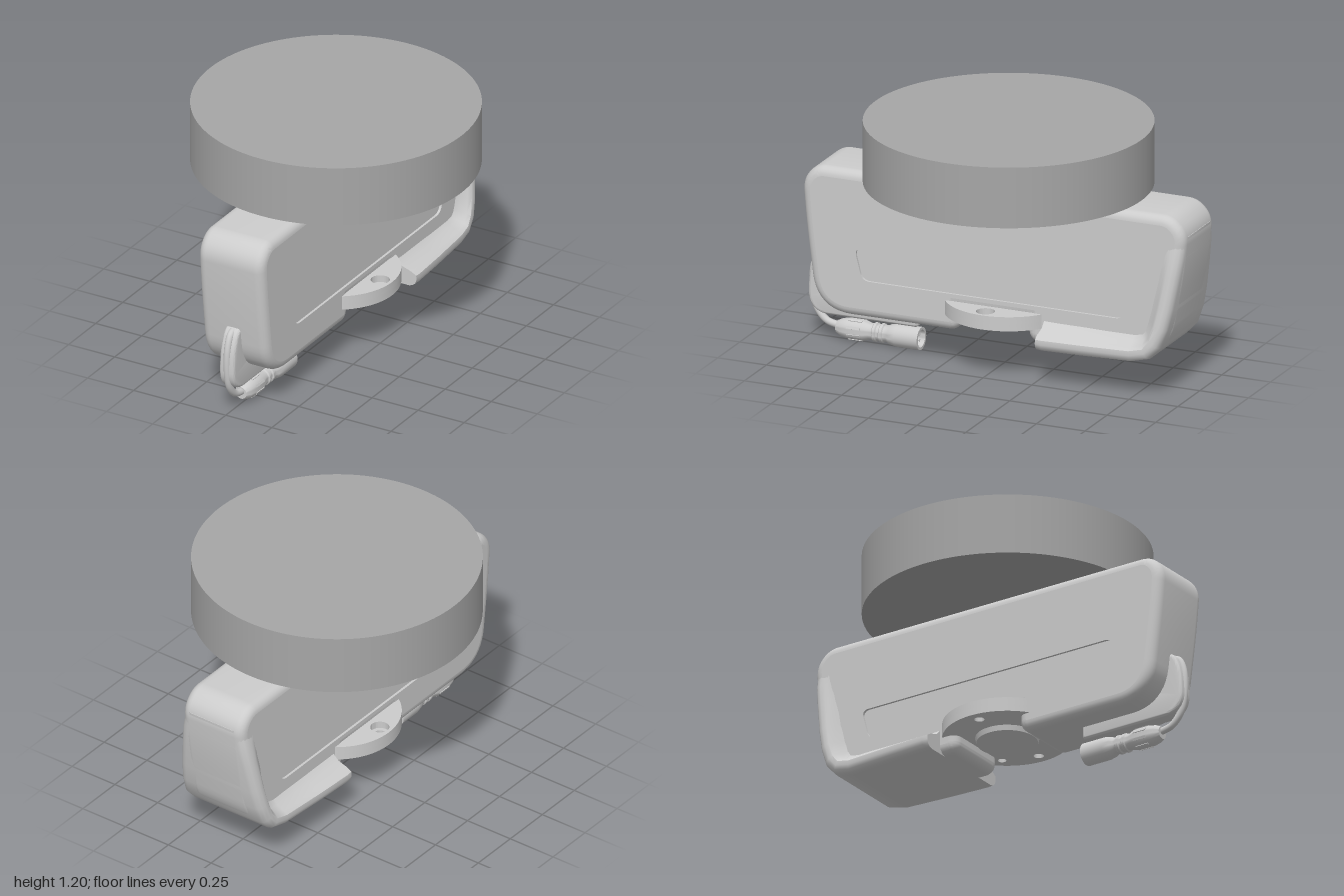
import * as THREE from 'three';
import { toCreasedNormals, mergeVertices } from 'three/addons/utils/BufferGeometryUtils.js';

const grey = new THREE.MeshStandardMaterial({ color: 0xcccccc });
const greyThin = new THREE.MeshStandardMaterial({ color: 0xcccccc, side: THREE.DoubleSide });
const darkGrey = new THREE.MeshStandardMaterial({ color: 0xa6a6a6 });

// Closed outline from [z, y, cornerRadius] points
function roundedOutline(points, Type = THREE.Shape) {
  const shape = new Type();
  points.forEach(([x, y, r], i) => {
    const p = new THREE.Vector2(x, y);
    const toward = (q) => {
      const d = new THREE.Vector2(q[0], q[1]).sub(p);
      return p.clone().addScaledVector(d, Math.min(r / d.length(), 0.49));
    };
    const a = toward(points[(i + points.length - 1) % points.length]);
    const b = toward(points[(i + 1) % points.length]);
    if (i === 0) shape.moveTo(a.x, a.y); else shape.lineTo(a.x, a.y);
    shape.quadraticCurveTo(x, y, b.x, b.y);
  });
  shape.closePath();
  return shape;
}

// Extrude a (z, y) outline symmetrically across x
function extrudeAcross(shape, halfWidth, bevel = 0) {
  const depth = 2 * (halfWidth - bevel);
  const geo = new THREE.ExtrudeGeometry(shape, {
    depth, curveSegments: 10, bevelEnabled: bevel > 0,
    bevelSize: bevel, bevelThickness: bevel, bevelSegments: 6,
  });
  return geo.translate(0, 0, -depth / 2).rotateY(-Math.PI / 2);
}

// Keep only the side walls of an extrusion
function wallsOnly(geo) {
  const { start, count } = geo.groups[1];
  const out = new THREE.BufferGeometry();
  const pos = geo.attributes.position.array.slice(start * 3, (start + count) * 3);
  out.setAttribute('position', new THREE.BufferAttribute(pos, 3));
  return out;
}

const crease = (geo, angle = 0.6) => toCreasedNormals(geo, angle);

function add(parent, name, geo, material = grey) {
  const mesh = new THREE.Mesh(geo, material);
  mesh.name = name;
  parent.add(mesh);
  return mesh;
}

// Lofted flare that wraps the bottom and back edges: [z, y, inward z, inward y, half width]
function rearFlareGeometry() {
  const stations = [
    [-0.28, 0.18, 0, 1, 0.283], [-0.31, 0.179, 0, 1, 0.285], [-0.5, 0.179, 0, 1, 0.275],
    [-0.75, 0.18, 0.05, 1, 0.257], [-0.84, 0.202, 0.45, 0.89, 0.252],
    [-0.895, 0.26, 0.8, 0.6, 0.247], [-0.928, 0.35, 0.95, 0.31, 0.238],
    [-0.95, 0.45, 0.97, 0.24, 0.225], [-0.975, 0.6, 0.98, 0.2, 0.204],
    [-0.99, 0.7, 0.99, 0.12, 0.188], [-0.997, 0.8, 1, 0, 0.165],
  ];
  const pos = [], idx = [];
  let n = 0;
  stations.forEach(([z, y, nz, ny, w]) => {
    const lip = Math.max(0, w - 0.17);
    const half = [[w - 0.04, 0], [w - 0.022, 0.005], [w - 0.007, 0.018], [w, 0.038], [w - 0.002, 0.06],
      [w - 0.25 * lip, 0.075], [0.17 + 0.3 * lip, 0.092], [0.166, 0.13]];
    const ring = [...half, ...half.map(([x, d]) => [-x, d]).reverse()];
    n = ring.length;
    ring.forEach(([x, d]) => pos.push(x, y + ny * d, z + nz * d));
  });
  const last = (stations.length - 1) * n;
  for (let i = 0; i < stations.length - 1; i++) {
    for (let j = 0; j < n; j++) {
      const a = i * n + j, b = i * n + (j + 1) % n;
      idx.push(a, a + n, b, b, a + n, b + n);
    }
  }
  for (let j = 1; j < n - 1; j++) idx.push(0, j, j + 1, last, last + j + 1, last + j);
  const geo = new THREE.BufferGeometry();
  geo.setAttribute('position', new THREE.Float32BufferAttribute(pos, 3));
  geo.setIndex(idx);
  return crease(geo, 0.75);
}

// Horizontal round plate with holes [x, z, r]
function plateWithHoles(radius, y, height, holes) {
  const shape = new THREE.Shape().absarc(0, 0, radius, 0, Math.PI * 2);
  holes.forEach(([x, z, r]) => shape.holes.push(new THREE.Path().absarc(x, -z, r, 0, Math.PI * 2, true)));
  const geo = new THREE.ExtrudeGeometry(shape, { depth: height, bevelEnabled: false, curveSegments: 48 });
  return crease(geo.rotateX(-Math.PI / 2).translate(0, y, -0.02));
}

export function createModel() {
  const model = new THREE.Group();
  model.name = 'model';

  // Round platform
  add(model, 'platformDisc', new THREE.CylinderGeometry(0.683, 0.683, 0.3, 128).translate(0, 1.05, -0.018), darkGrey);

  // Housing: rounded shell with a recessed panel in each side
  const housing = new THREE.Group();
  housing.name = 'housing';
  model.add(housing);
  const halfWidth = 0.177, bevel = 0.045;
  const outline = [
    [0.88, 0.855, 0.03], [-0.905, 0.855, 0.03], [-0.955, 0.805, 0.04], [-0.937, 0.62, 0.12],
    [-0.86, 0.225, 0.15], [-0.235, 0.225, 0.01], [-0.235, 0.345, 0.01],
    [0.205, 0.345, 0.01], [0.205, 0.225, 0.01], [0.86, 0.225, 0.14], [0.91, 0.62, 0.12], [0.925, 0.805, 0.04],
  ];
  const panel = [[0.695, 0.52, 0.04], [-0.725, 0.52, 0.04], [-0.685, 0.365, 0.04], [0.655, 0.365, 0.04]];
  add(housing, 'housingShell', crease(wallsOnly(extrudeAcross(roundedOutline(outline), halfWidth, bevel))), greyThin);
  const sideShape = roundedOutline(outline);
  sideShape.holes.push(roundedOutline(panel, THREE.Path));
  for (const side of [1, -1]) {
    const face = new THREE.ShapeGeometry(sideShape, 10).rotateY(-Math.PI / 2).translate(side * halfWidth, 0, 0);
    add(housing, side > 0 ? 'leftSideFace' : 'rightSideFace', face, greyThin);
  }
  add(housing, 'panelRim', crease(wallsOnly(extrudeAcross(roundedOutline(panel), halfWidth))), greyThin);
  add(housing, 'recessedPanels', crease(extrudeAcross(roundedOutline(panel), halfWidth - 0.012)));
  add(housing, 'rearFlare', rearFlareGeometry());

  // Mounting flange with countersunk bolt holes and a central boss
  const flange = new THREE.Group();
  flange.name = 'mountingFlange';
  model.add(flange);
  add(flange, 'flangeLower', plateWithHoles(0.305, 0.26, 0.035,
    [[0.245, 0.01, 0.024], [-0.245, 0.01, 0.024], [0.19, -0.16, 0.02]]));
  add(flange, 'flangeUpper', plateWithHoles(0.305, 0.295, 0.035, [[0.245, 0.01, 0.045], [-0.245, 0.01, 0.045]]));
  add(flange, 'centreBoss', new THREE.CylinderGeometry(0.152, 0.145, 0.03, 64).translate(0, 0.25, -0.02));

  // Cable guide fin under the front
  const fin = [[0.85, 0.43, 0.02], [0.935, 0.425, 0.04], [0.98, 0.32, 0.1], [0.98, 0.135, 0.09],
    [0.445, 0.135, 0.005], [0.445, 0.24, 0.01], [0.85, 0.24, 0.01]];
  add(model, 'cableGuideFin', crease(extrudeAcross(roundedOutline(fin), 0.04, 0.015)));

  // Cable running down the fin into the connector
  const path = new THREE.CatmullRomCurve3([[0.42, 0.92], [0.405, 0.955], [0.34, 0.982], [0.2, 0.983],
    [0.13, 0.962], [0.08, 0.915], [0.06, 0.84]].map(([y, z]) => new THREE.Vector3(0, y, z)));
  add(model, 'cable', new THREE.TubeGeometry(path, 60, 0.017, 16), greyThin);

  // Plug connector along z, with an open socket at its rear end
  const connector = new THREE.Group();
  connector.name = 'connector';
  connector.position.set(0, 0.056, 0);
  model.add(connector);
  const profile = [[0, 0.48], [0.042, 0.48], [0.042, 0.43], [0.055, 0.43], [0.055, 0.55], [0.048, 0.585],
    [0.04, 0.6], [0.04, 0.615], [0.046, 0.62], [0.046, 0.632], [0.04, 0.637], [0.04, 0.65], [0.046, 0.655],
    [0.046, 0.667], [0.04, 0.672], [0.04, 0.69], [0.05, 0.72], [0.05, 0.8], [0.043, 0.835], [0.03, 0.86], [0, 0.86]];
  const body = new THREE.LatheGeometry(profile.map(([r, z]) => new THREE.Vector2(r, z)), 32).rotateX(Math.PI / 2);
  body.deleteAttribute('normal');
  body.deleteAttribute('uv');
  add(connector, 'connectorBody', crease(mergeVertices(body)), greyThin);
  for (let i = 0; i < 8; i++) {
    const a = (i + 0.5) * Math.PI / 4;
    const grip = add(connector, 'gripRib', new THREE.BoxGeometry(0.012, 0.008, 0.07));
    grip.position.set(Math.cos(a) * 0.049, Math.sin(a) * 0.049, 0.76);
    grip.rotation.z = a - Math.PI / 2;
  }
  for (let i = 0; i < 4; i++) {
    const a = (i + 0.5) * Math.PI / 2;
    const pin = add(connector, 'contactPin', new THREE.CylinderGeometry(0.006, 0.006, 0.04, 10).rotateX(Math.PI / 2));
    pin.position.set(Math.cos(a) * 0.02, Math.sin(a) * 0.02, 0.465);
  }
  return model;
}
